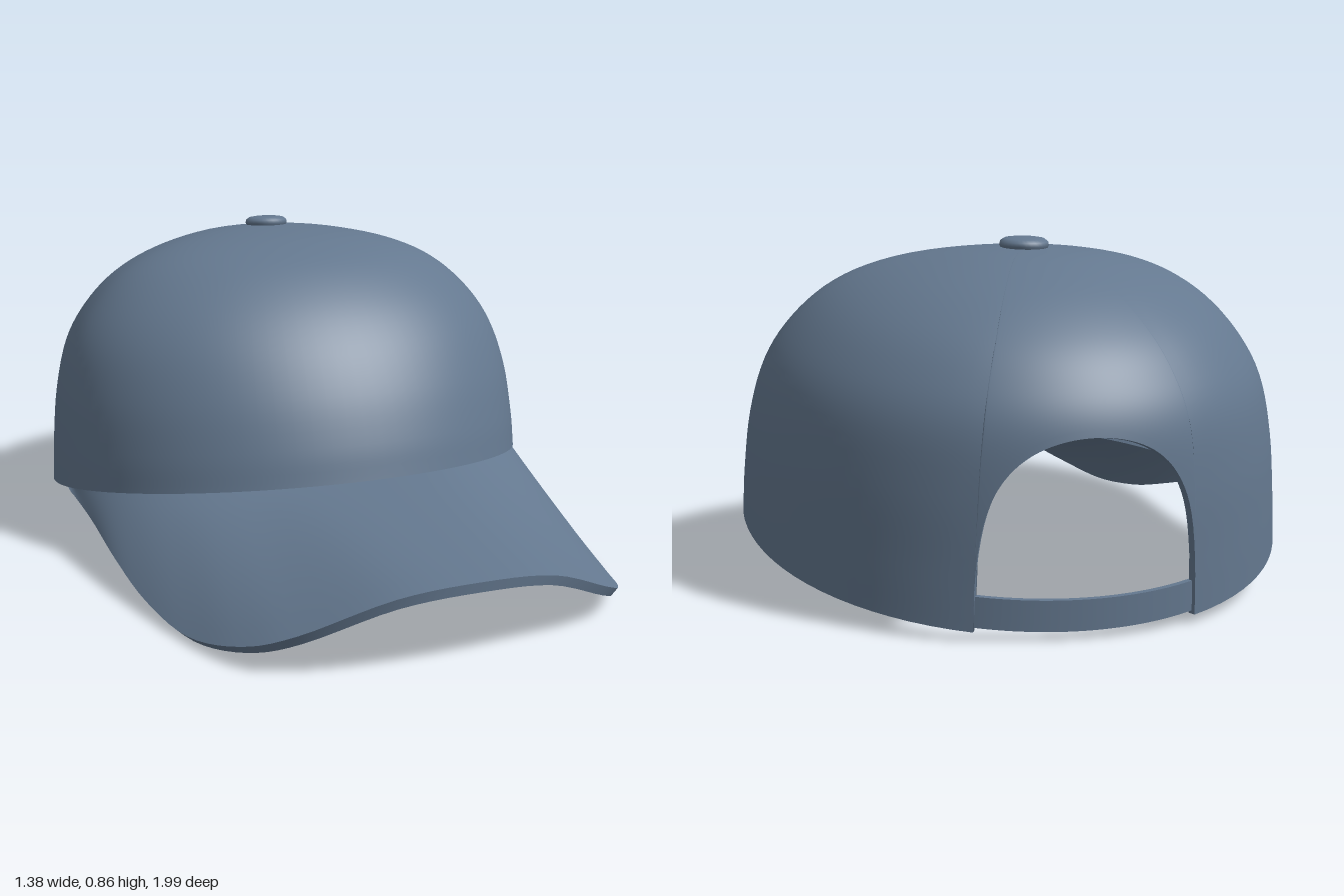
import * as THREE from 'three';
import { mergeGeometries } from 'three/addons/utils/BufferGeometryUtils.js';

const V = (x, y, z) => new THREE.Vector3(x, y, z);

// Crown rings from rim to apex: front z, front y, back z, back y, half width, centre z
const RINGS = [
  [0.365, 0.27, -0.995, 0.02, 0.69, -0.27],
  [0.34, 0.36, -1.0, 0.15, 0.684, -0.27],
  [0.29, 0.48, -1.005, 0.32, 0.668, -0.275],
  [0.215, 0.6, -0.995, 0.47, 0.632, -0.29],
  [0.12, 0.7, -0.95, 0.575, 0.568, -0.31],
  [0.0, 0.78, -0.875, 0.665, 0.475, -0.34],
  [-0.13, 0.822, -0.755, 0.75, 0.35, -0.37],
  [-0.27, 0.84, -0.6, 0.815, 0.19, -0.41],
  [-0.43, 0.845, -0.43, 0.845, 0, -0.43],
];
const spline = (pts) => new THREE.CatmullRomCurve3(pts, false, 'catmullrom', 0.5);
const frontCurve = spline(RINGS.map((r) => V(r[0], r[1], r[4])));
const backCurve = spline(RINGS.map((r) => V(r[2], r[3], r[5])));

// Point on the crown: phi runs round from the back towards +x, v from rim to apex
function crownPoint(phi, v, scale = 1) {
  const f = frontCurve.getPoint(v), b = backCurve.getPoint(v);
  const zc = b.z, c = Math.cos(phi);
  const z = zc - c * (c > 0 ? zc - b.x : f.x - zc);
  const span = f.x - b.x;
  const y = span > 1e-4 ? b.y + (f.y - b.y) * (z - b.x) / span : f.y;
  return V(f.z * Math.sin(phi) * scale, y, zc + (z - zc) * scale);
}

function indexed(points, index) {
  const g = new THREE.BufferGeometry().setFromPoints(points);
  g.setIndex(index);
  g.computeVertexNormals();
  return g;
}

// Turn a grid of points into a sheet with thickness; wrap closes it round and ends it at a pole
function slab(rows, thickness, wrap = false) {
  const m = rows.length - 1, n = rows[0].length, last = wrap ? n : n - 1;
  const at = (i, j) => i * n + (j % n);
  const index = [];
  for (let i = 0; i < m; i++) {
    for (let j = 0; j < last; j++) {
      const a = at(i, j), b = at(i, j + 1), c = at(i + 1, j), d = at(i + 1, j + 1);
      index.push(b, a, c, b, c, d);
    }
  }
  const outerPts = rows.flat();
  const outer = indexed(outerPts, index);
  const normal = outer.getAttribute('normal');
  const innerPts = outerPts.map((p, k) =>
    p.clone().addScaledVector(V().fromBufferAttribute(normal, k), -thickness));
  const inner = indexed(innerPts, [...index].reverse());

  // Boundary loop and its wall
  const loop = [];
  for (let j = last; j >= 0; j--) loop.push(at(0, j));
  if (!wrap) {
    for (let i = 1; i <= m; i++) loop.push(at(i, 0));
    for (let j = 1; j <= last; j++) loop.push(at(m, j));
    for (let i = m - 1; i >= 0; i--) loop.push(at(i, last));
  }
  const wallPts = [], wallIndex = [];
  loop.forEach((k, s) => {
    wallPts.push(outerPts[k], innerPts[k]);
    if (s === 0) return;
    const p = 2 * s - 2, q = 2 * s;
    wallIndex.push(q, p, p + 1, q, p + 1, q + 1);
  });
  return mergeGeometries([outer, inner, indexed(wallPts, wallIndex)]);
}

export function createModel() {
  const group = new THREE.Group();
  const fabric = new THREE.MeshStandardMaterial({ color: 0x64788f });
  fabric.name = 'slate blue fabric';
  const add = (name, geometry) => {
    const mesh = new THREE.Mesh(geometry, fabric);
    mesh.name = name;
    group.add(mesh);
    return mesh;
  };

  // Crown: columns start higher inside the arched opening at the back
  const phi0 = Math.asin(0.26 / 0.69), archTop = 0.366;
  const columns = [];
  for (let k = 0; k < 48; k++) {
    const u = -Math.PI / 2 + (Math.PI * k) / 48;
    columns.push([phi0 * Math.sin(u), archTop * Math.sqrt(Math.max(0, Math.cos(u)))]);
  }
  columns[0][1] = 0;
  for (let k = 0; k < 80; k++) {
    columns.push([phi0 + ((2 * Math.PI - 2 * phi0) * k) / 80, 0]);
  }
  const crownRows = [];
  for (let i = 0; i <= 40; i++) {
    crownRows.push(columns.map(([phi, v0]) => crownPoint(phi, v0 + ((1 - v0) * i) / 40)));
  }
  add('crown', slab(crownRows, 0.018, true));

  // Brim: ruled from the crown rim to a curved outer edge
  const half = [
    [0.2, 0.2, 0.972], [0.4, 0.11, 0.885], [0.5, 0.058, 0.78], [0.575, 0.026, 0.61],
    [0.62, 0.043, 0.4], [0.645, 0.085, 0.2], [0.66, 0.13, 0], [0.682, 0.168, -0.18],
  ];
  const edge = spline([
    ...half.map(([x, y, z]) => V(-x, y, z)).reverse(),
    V(0, 0.222, 0.997),
    ...half.map(([x, y, z]) => V(x, y, z)),
  ]);
  const brimRows = [];
  for (let i = 0; i <= 10; i++) {
    const row = [];
    for (let j = 0; j <= 80; j++) {
      const t = j / 40 - 1;
      const angle = Math.sign(t) * 1.43 * Math.abs(t) ** 0.8;
      const rim = crownPoint(Math.PI - angle, 0, 0.988);
      row.push(rim.lerp(edge.getPoint(j / 80), i / 10));
    }
    brimRows.push(row);
  }
  add('brim', slab(brimRows, 0.025));

  // Strap across the foot of the opening
  const strapRows = [];
  for (let i = 0; i <= 4; i++) {
    const row = [];
    for (let j = 0; j <= 32; j++) {
      row.push(crownPoint((phi0 + 0.08) * (j / 16 - 1), 0.008 + 0.018 * i, 0.988));
    }
    strapRows.push(row);
  }
  add('backStrap', slab(strapRows, 0.014));

  // Button on the top
  const profile = [[0, -0.01], [0.055, -0.01], [0.062, 0.004], [0.06, 0.013], [0.05, 0.02], [0.03, 0.023], [0, 0.024]];
  const button = add('topButton', new THREE.LatheGeometry(
    profile.map(([r, y]) => new THREE.Vector2(r, y)), 32));
  button.position.set(0, 0.842, -0.43);
  button.rotation.x = -0.07;

  return group;
}
